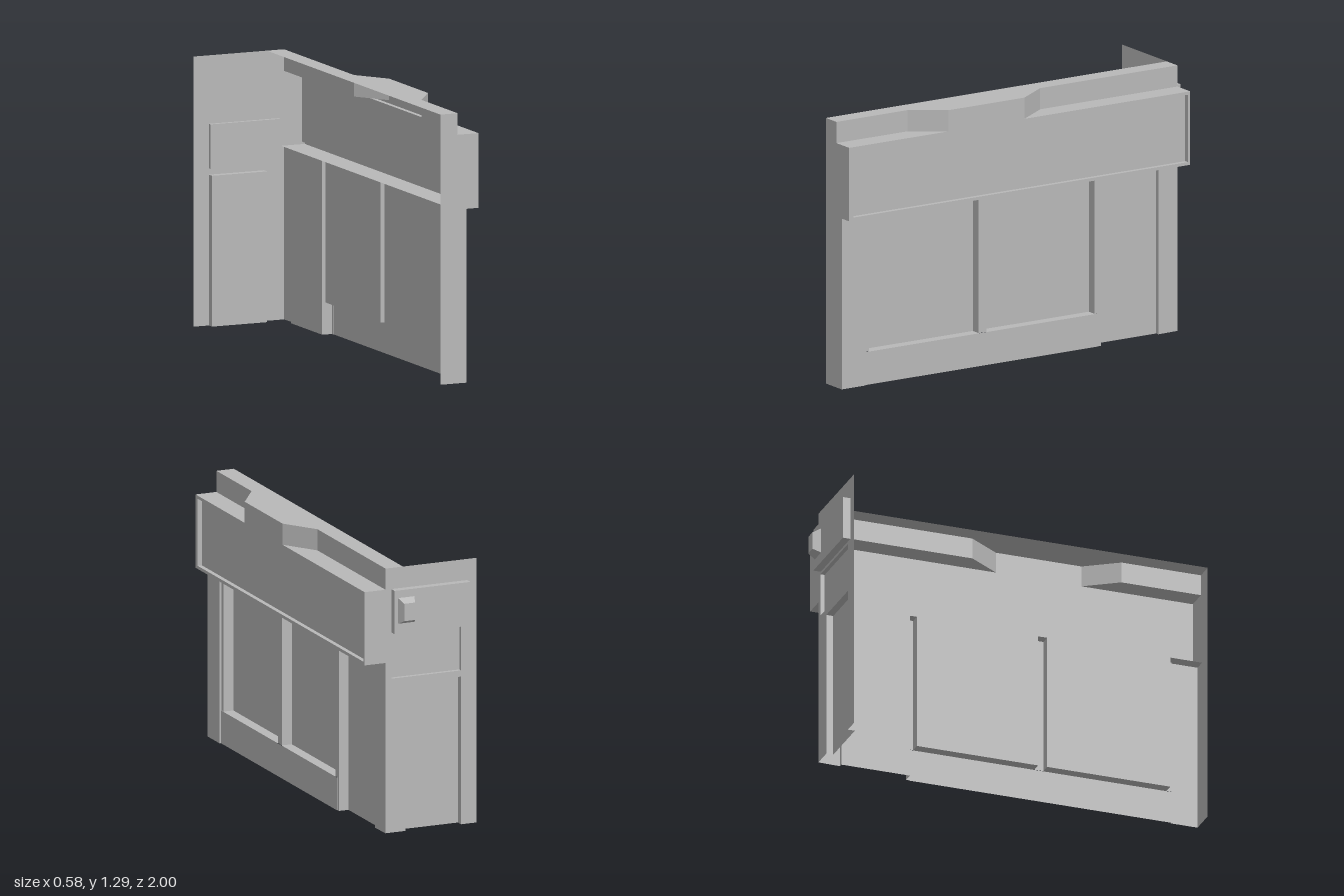
import * as THREE from 'three';

const grey = new THREE.MeshStandardMaterial({ color: 0xb8b8b8, side: THREE.DoubleSide });
grey.name = 'plain grey';

// Plane placements: (u, v, depth) -> (x, y, z)
const facingX = (u, v, d) => [d, v, u];
const facingY = (u, v, d) => [u, d, v];
const facingZ = (u, v, d) => [u, v, d];

const BACK = -0.925, FRONT = 1, OUT = 0.288, TOP = 1.29, LEDGE = 1.187, SOFFIT = 0.83, PANEL = 0.165, RAIL = 0.218;

const rect = (u0, u1, v0, v1) => [[u0, v0], [u1, v0], [u1, v1], [u0, v1]];

export function createModel() {
  const model = new THREE.Group();
  model.name = 'panelledCounter';

  const add = (name, geometry) => {
    const mesh = new THREE.Mesh(geometry, grey);
    mesh.name = name;
    model.add(mesh);
  };

  // Flat sheet with optional holes, laid into one of the planes
  const sheet = (name, place, depth, outline, holes = []) => {
    const vectors = (pts) => pts.map(([u, v]) => new THREE.Vector2(u, v));
    const shape = new THREE.Shape(vectors(outline));
    holes.forEach((h) => shape.holes.push(new THREE.Path(vectors(h))));
    const geometry = new THREE.ShapeGeometry(shape);
    const pos = geometry.attributes.position;
    for (let i = 0; i < pos.count; i++) pos.setXYZ(i, ...place(pos.getX(i), pos.getY(i), depth));
    geometry.computeVertexNormals();
    add(name, geometry);
  };

  // Flat-shaded band joining two rows of points
  const band = (name, a, b) => {
    const p = [];
    for (let i = 0; i + 1 < a.length; i++) {
      p.push(...a[i], ...a[i + 1], ...b[i + 1], ...a[i], ...b[i + 1], ...b[i]);
    }
    const geometry = new THREE.BufferGeometry();
    geometry.setAttribute('position', new THREE.Float32BufferAttribute(p, 3));
    geometry.computeVertexNormals();
    add(name, geometry);
  };

  // Upright wall following a plan path of (x, z)
  const wall = (name, path, y0, y1) =>
    band(name, path.map(([x, z]) => [x, y0, z]), path.map(([x, z]) => [x, y1, z]));

  // Raised or sunk panel: four sides and a floor
  const panel = (name, place, outer, d0, inner, d1) => {
    const ring = (r, d) => [...r, r[0]].map(([u, v]) => place(u, v, d));
    band(name + 'Sides', ring(outer, d0), ring(inner, d1));
    sheet(name, place, d1, inner);
  };

  // Top cap with its bump-out, and the riser below it
  const crest = [[0.18, FRONT], [0.18, 0.6], [OUT, 0.44], [OUT, 0.01], [0.18, -0.15], [0.18, BACK]];
  sheet('topCap', facingY, TOP, [[0.09, FRONT], ...crest, [0.09, BACK]]);
  wall('topRiser', crest, LEDGE, TOP);

  // Ledge on each side of the bump-out
  sheet('frontLedge', facingY, LEDGE, [...crest.slice(0, 3), [OUT, FRONT]]);
  sheet('rearLedge', facingY, LEDGE, [...crest.slice(3), [OUT, BACK]]);

  // Overhanging fascia with a sunk panel, and its underside
  const inset = rect(-0.912, 0.975, 0.845, 1.172);
  sheet('fasciaFrame', facingX, OUT, rect(BACK, FRONT, SOFFIT, LEDGE), [inset]);
  panel('fasciaPanel', facingX, inset, OUT, inset, 0.266);
  sheet('soffit', facingY, SOFFIT, rect(PANEL, OUT, BACK, FRONT));

  // Lower wall: posts, stiles and sunk bays above a baseboard
  const corner = [[0.215, -0.47], [PANEL, -0.47], [PANEL, -0.815], [0.184, -0.815], [0.18, BACK]];
  const bays = [[0.84, 0.22], [0.175, -0.435]];
  const upper = [[0.225, FRONT], [0.225, 0.865], [0.215, 0.865]];
  for (const [z0, z1] of bays) {
    upper.push([0.215, z0], [PANEL, z0], [PANEL, z1], [0.215, z1]);
    sheet('baseboardLedge', facingY, 0.16, rect(PANEL, RAIL, z1, z0));
  }
  wall('lowerPanels', [...upper, ...corner], 0.16, SOFFIT);
  wall('baseboard', [[0.225, FRONT], [0.225, 0.865], [RAIL, 0.865], [RAIL, -0.455], [0.215, -0.455], ...corner], 0, 0.16);

  // Front end of the counter
  sheet('frontEnd', facingZ, FRONT, [
    [0.09, 0], [0.225, 0], [0.225, SOFFIT], [OUT, SOFFIT], [OUT, LEDGE], [0.18, LEDGE], [0.18, TOP], [0.09, TOP],
  ]);

  // Rear return wall with two sunk panels
  const middle = rect(-0.21, 0.15, 0.75, 0.963);
  sheet('returnWall', facingZ, BACK, [
    [-0.29, 0], [-0.21, 0], [-0.21, 0.72], [0.076, 0.72], [0.076, 0], [0.18, 0], [0.18, SOFFIT],
    [OUT, SOFFIT], [OUT, LEDGE], [0.18, LEDGE], [0.18, TOP], [-0.29, TOP],
  ], [middle]);
  panel('middleReturnPanel', facingZ, middle, BACK, middle, -0.905);
  const lower = [[-0.21, 0], [-0.21, 0.72], [0.076, 0.72], [0.076, 0]];
  band('lowerReturnPanelSides', lower.map(([x, y]) => [x, y, BACK]), lower.map(([x, y]) => [x, y, -0.89]));
  sheet('lowerReturnPanel', facingZ, -0.89, lower);

  // Raised upper panel carrying a small tapered block
  const raised = rect(-0.242, 0.15, 0.976, 1.187);
  panel('raisedReturnPanel', facingZ, raised, BACK, raised, -0.962);
  panel('taperedBlock', facingZ, rect(0.047, 0.132, 1.025, 1.15), -0.962, rect(0.062, 0.117, 1.045, 1.13), -1);

  return model;
}
